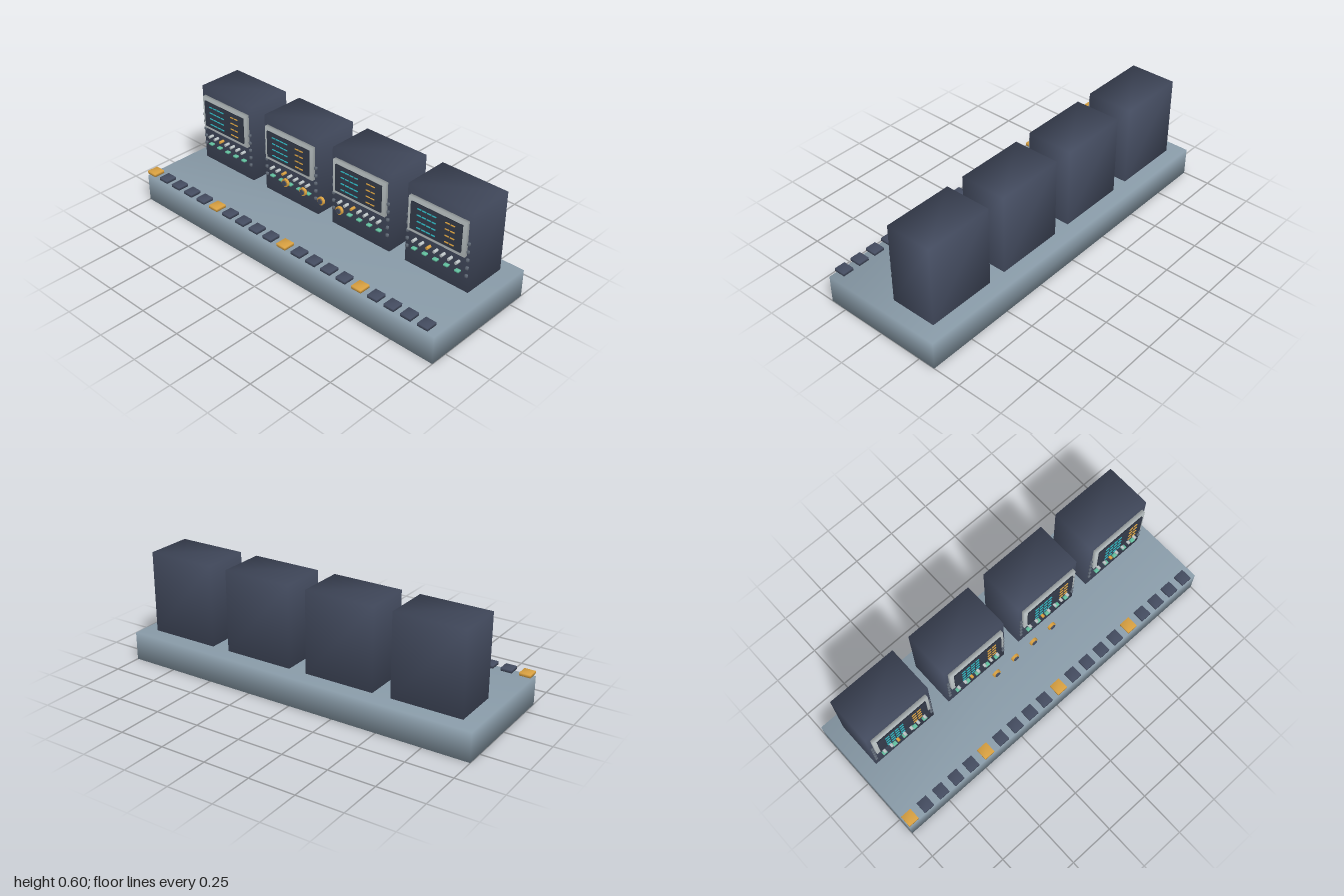
import * as THREE from 'three';
import { mergeVertices } from 'three/addons/utils/BufferGeometryUtils.js';

function material(name, color) {
  const m = new THREE.MeshStandardMaterial({ color });
  m.name = name;
  return m;
}

// Box with shared corners, so its shading runs softly across the edges
function softBox(w, h, d) {
  const g = new THREE.BoxGeometry(w, h, d);
  g.deleteAttribute('normal');
  g.deleteAttribute('uv');
  const merged = mergeVertices(g);
  merged.computeVertexNormals();
  return merged;
}

export function createModel() {
  const steel = material('blueGreySteel', 0x8799a6);
  const navy = material('darkSlate', 0x444c60);
  const silver = material('silver', 0xbcc4c6);
  const glass = material('screenGlass', 0x343b4a);
  const teal = material('teal', 0x2fb3bd);
  const gold = material('gold', 0xd8a041);
  const mint = material('mint', 0x64c3a2);
  const grey = material('buttonGrey', 0x687280);

  const model = new THREE.Group();
  model.name = 'controlConsole';

  function add(parent, name, geometry, mat, x, y, z) {
    const mesh = new THREE.Mesh(geometry, mat);
    mesh.name = name;
    mesh.position.set(x, y, z);
    parent.add(mesh);
    return mesh;
  }
  // Box given by its centre x, y and its back and front z
  function panel(parent, name, mat, x, y, z0, z1, w, h) {
    return add(parent, name, softBox(w, h, z1 - z0), mat, x, y, (z0 + z1) / 2);
  }
  // Round part pointing forwards
  function knob(parent, name, mat, x, y, z0, z1, r, sides = 20) {
    const g = new THREE.CylinderGeometry(r, r, z1 - z0, sides).rotateX(Math.PI / 2);
    return add(parent, name, g, mat, x, y, (z0 + z1) / 2);
  }

  // Desk slab
  panel(model, 'desk', steel, 0, 0.0775, -0.345, 0.345, 2, 0.155);

  // Four display cabinets
  for (let c = 0; c < 4; c++) {
    const unit = new THREE.Group();
    unit.name = 'cabinetUnit';
    unit.position.x = (c - 1.5) * 0.483;
    model.add(unit);

    panel(unit, 'cabinet', navy, 0, 0.3815, -0.267, -0.01, 0.383, 0.443);
    panel(unit, 'bezel', silver, 0, 0.4575, -0.01, 0.01, 0.34, 0.191);
    panel(unit, 'screen', glass, 0, 0.458, 0.01, 0.018, 0.3, 0.15);

    // Lines of readout on the screen
    for (let r = 0; r < 4; r++) {
      const y = 0.511 - r * 0.0352;
      for (let k = 0; k < 4; k++) {
        panel(unit, 'readoutDash', teal, -0.096 + k * 0.029, y, 0.018, 0.023, 0.023, 0.005);
      }
      for (let k = 0; k < 2; k++) {
        panel(unit, 'readoutMark', gold, 0.07 + k * 0.03, y, 0.018, 0.023, 0.024, 0.005);
      }
    }

    // Buttons down both edges
    for (const side of [-1, 1]) {
      for (let k = 0; k < 5; k++) {
        panel(unit, 'sideButton', grey, side * 0.179, 0.435 - k * 0.045, -0.01, 0, 0.013, 0.015);
      }
    }

    // Row of knobs, then a row of lit keys
    for (let k = 0; k < 7; k++) {
      knob(unit, 'knob', k === 2 ? gold : silver, (k - 3) * 0.043, 0.314, -0.01, 0.018, 0.008, 12);
    }
    for (let k = 0; k < 5; k++) {
      panel(unit, 'litKey', mint, (k - 2) * 0.065, 0.264, -0.01, 0.01, 0.025, 0.009);
    }
  }

  // Four dials in front of the cabinets
  for (let k = 0; k < 4; k++) {
    const x = (k - 1.5) * 0.125;
    knob(model, 'dialRim', gold, x, 0.338, 0.08, 0.094, 0.022);
    knob(model, 'dialFace', navy, x, 0.338, 0.094, 0.1, 0.014);
  }

  // Row of keys along the front edge
  for (let k = 0; k < 20; k++) {
    panel(model, 'deskKey', k % 5 ? navy : gold, -0.968 + k * 0.1, 0.175, 0.282, 0.345, 0.06, 0.016);
  }

  return model;
}
